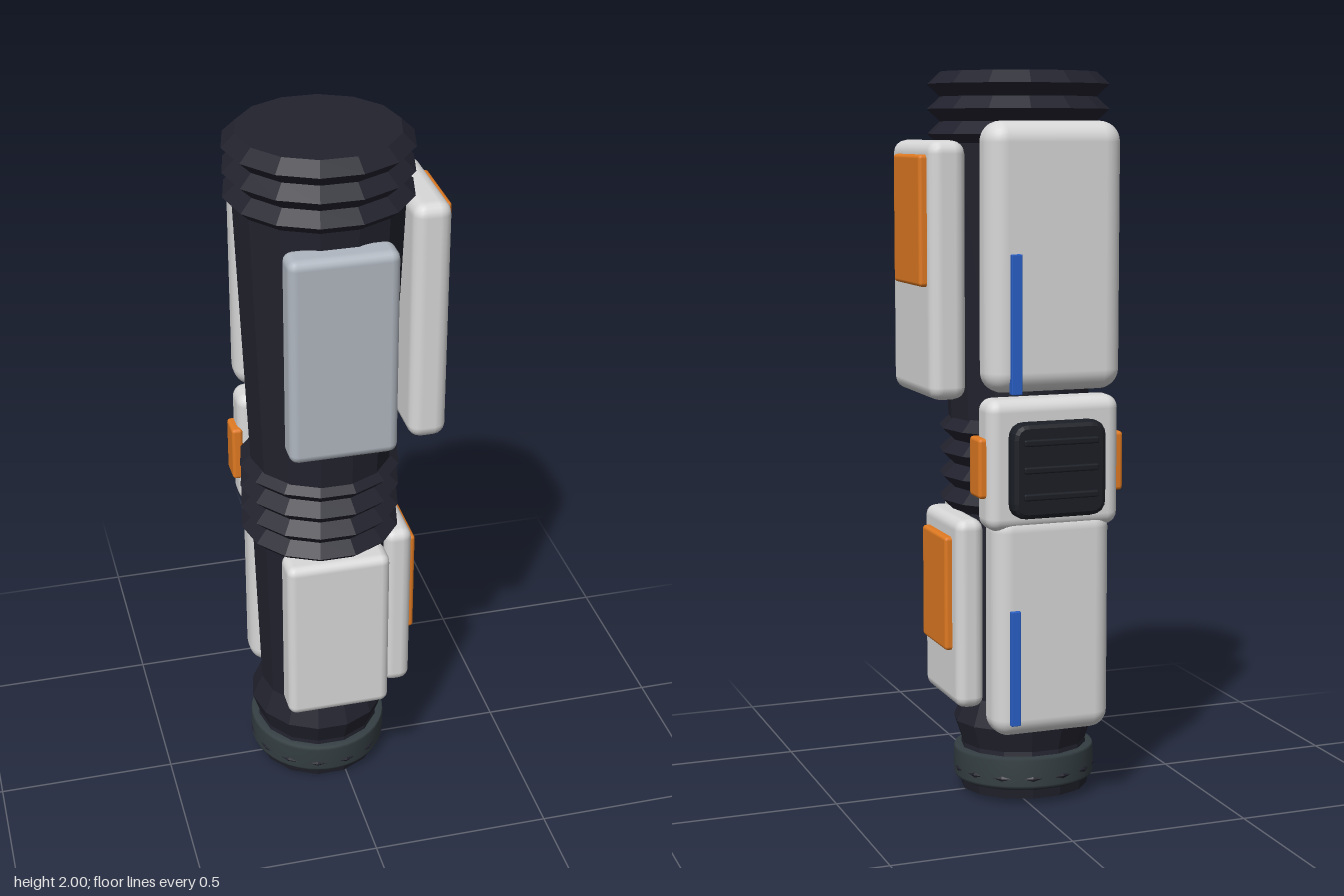
import * as THREE from 'three';
import { RoundedBoxGeometry } from 'three/addons/geometries/RoundedBoxGeometry.js';

const SIDES = 14;
const AXIS_X = -0.046;

const makeMat = (name, color, flatShading = false) => {
  const m = new THREE.MeshStandardMaterial({ color, flatShading });
  m.name = name;
  return m;
};

export function createModel() {
  const dark = makeMat('darkFabric', 0x22222e, true);
  const light = makeMat('lightArmour', 0xd8d8d8);
  const grey = makeMat('greyArmour', 0xb0b7c0);
  const orange = makeMat('orangeAccent', 0xe07a22);
  const blue = makeMat('blueStripe', 0x2a60c8);
  const cuffMat = makeMat('cuff', 0x343e42);
  const padMat = makeMat('padRubber', 0x1b1e25);

  const model = new THREE.Group();
  model.name = 'armouredLimb';

  const add = (name, geometry, material, parent = model) => {
    const mesh = new THREE.Mesh(geometry, material);
    mesh.name = name;
    parent.add(mesh);
    return mesh;
  };

  // Rounded block given by its extents on each axis
  const block = (name, material, [x0, x1], [y0, y1], [z0, z1], radius, segments = 2) => {
    const geo = new RoundedBoxGeometry(x1 - x0, y1 - y0, z1 - z0, segments, radius);
    return add(name, geo, material).position.set((x0 + x1) / 2, (y0 + y1) / 2, (z0 + z1) / 2);
  };

  // Faceted body of revolution with a corner on +x
  const lathe = (points, sides = SIDES) =>
    new THREE.LatheGeometry(points.map(([r, y]) => new THREE.Vector2(r, y)), sides, Math.PI / 2);

  // Zigzag bellows profile between two heights
  const bellows = (y0, y1, count, valley, peak) => {
    const points = [[0, y0]];
    for (let i = 0; i <= count * 2; i++) {
      points.push([i % 2 ? peak : valley, y0 + ((y1 - y0) * i) / (count * 2)]);
    }
    points.push([0, y1]);
    return points;
  };

  // Upper segment and the two bellows
  add('upperSleeve', lathe([[0, 1.05], [0.194, 1.05], [0.226, 1.81], [0, 1.81]]), dark)
    .position.set(AXIS_X, 0, 0.03);
  add('topBellows', lathe(bellows(1.8, 2, 3, 0.215, 0.25)), dark).position.set(AXIS_X, 0, 0.03);
  add('jointBellows', lathe(bellows(0.8, 1.065, 4, 0.188, 0.222)), dark).position.set(AXIS_X, 0, 0.022);

  // Lower segment leans slightly backwards going down
  const lower = new THREE.Group();
  lower.name = 'lowerSegment';
  lower.position.set(AXIS_X, 0.82, 0.018);
  lower.rotation.x = 0.05;
  model.add(lower);
  add('lowerSleeve', lathe([
    [0, -0.81], [0.178, -0.81], [0.183, -0.785], [0.201, -0.75], [0.18, -0.715],
    [0.175, -0.68], [0.196, -0.615], [0.167, -0.545], [0.19, 0], [0, 0],
  ]), dark, lower);
  add('wristCuff', lathe([[0.17, -0.778], [0.194, -0.778], [0.197, -0.77],
    [0.197, -0.7], [0.194, -0.692], [0.17, -0.692]], 42), cuffMat, lower);

  // Front plates
  block('upperFrontPlate', grey, [-0.19, 0.1], [1.183, 1.763], [0.215, 0.305], 0.025);
  block('lowerFrontPlate', light, [-0.19, 0.1], [0.32, 0.82], [0.155, 0.255], 0.025);

  // Side plates with raised orange inserts
  block('upperSidePlate', light, [0.168, 0.272], [1.133, 1.817], [-0.168, 0.178], 0.035);
  block('upperSideInsert', orange, [0.255, 0.293], [1.435, 1.78], [-0.135, 0.09], 0.01);
  block('lowerSidePlate', light, [0.12, 0.2], [0.283, 0.807], [-0.165, 0.127], 0.03);
  block('lowerSideInsert', orange, [0.185, 0.22], [0.44, 0.755], [-0.118, 0.08], 0.01);

  // Back plates with blue stripes
  block('upperBackPlate', light, [-0.236, 0.147], [1.157, 1.868], [-0.275, -0.15], 0.055, 4);
  block('lowerBackPlate', light, [-0.215, 0.122], [0.215, 0.83], [-0.255, -0.13], 0.05, 4);
  block('upperBackStripe', blue, [0.06, 0.09], [1.157, 1.525], [-0.287, -0.265], 0.003, 1);
  block('lowerBackStripe', blue, [0.055, 0.083], [0.253, 0.57], [-0.266, -0.245], 0.003, 1);

  // Joint guard with orange side caps
  block('jointGuard', light, [-0.235, 0.143], [0.785, 1.14], [-0.255, -0.148], 0.035, 3);
  for (const side of [-1, 1]) {
    const x = AXIS_X + side * 0.192;
    block('jointCap', orange, [x - 0.016, x + 0.016], [0.875, 1.037], [-0.23, -0.152], 0.01);
  }

  // Rubber pad with rounded corners and a bevelled rim
  const w = 0.12, h = 0.115, r = 0.03;
  const outline = new THREE.Shape();
  outline.moveTo(-w + r, -h);
  outline.lineTo(w - r, -h);
  outline.quadraticCurveTo(w, -h, w, -h + r);
  outline.lineTo(w, h - r);
  outline.quadraticCurveTo(w, h, w - r, h);
  outline.lineTo(-w + r, h);
  outline.quadraticCurveTo(-w, h, -w, h - r);
  outline.lineTo(-w, -h + r);
  outline.quadraticCurveTo(-w, -h, -w + r, -h);
  const padGeo = new THREE.ExtrudeGeometry(outline, {
    depth: 0.03, bevelThickness: 0.018, bevelSize: 0.014, bevelSegments: 2, curveSegments: 4,
  });
  const pad = add('jointPad', padGeo, padMat);
  pad.rotation.y = Math.PI;
  pad.position.set(AXIS_X, 0.952, -0.247);

  // Grip ridges on the pad
  for (const y of [0.885, 0.957, 1.03]) {
    block('padRidge', padMat, [-0.152, 0.06], [y - 0.009, y + 0.009], [-0.306, -0.288], 0.005, 1);
  }

  return model;
}
